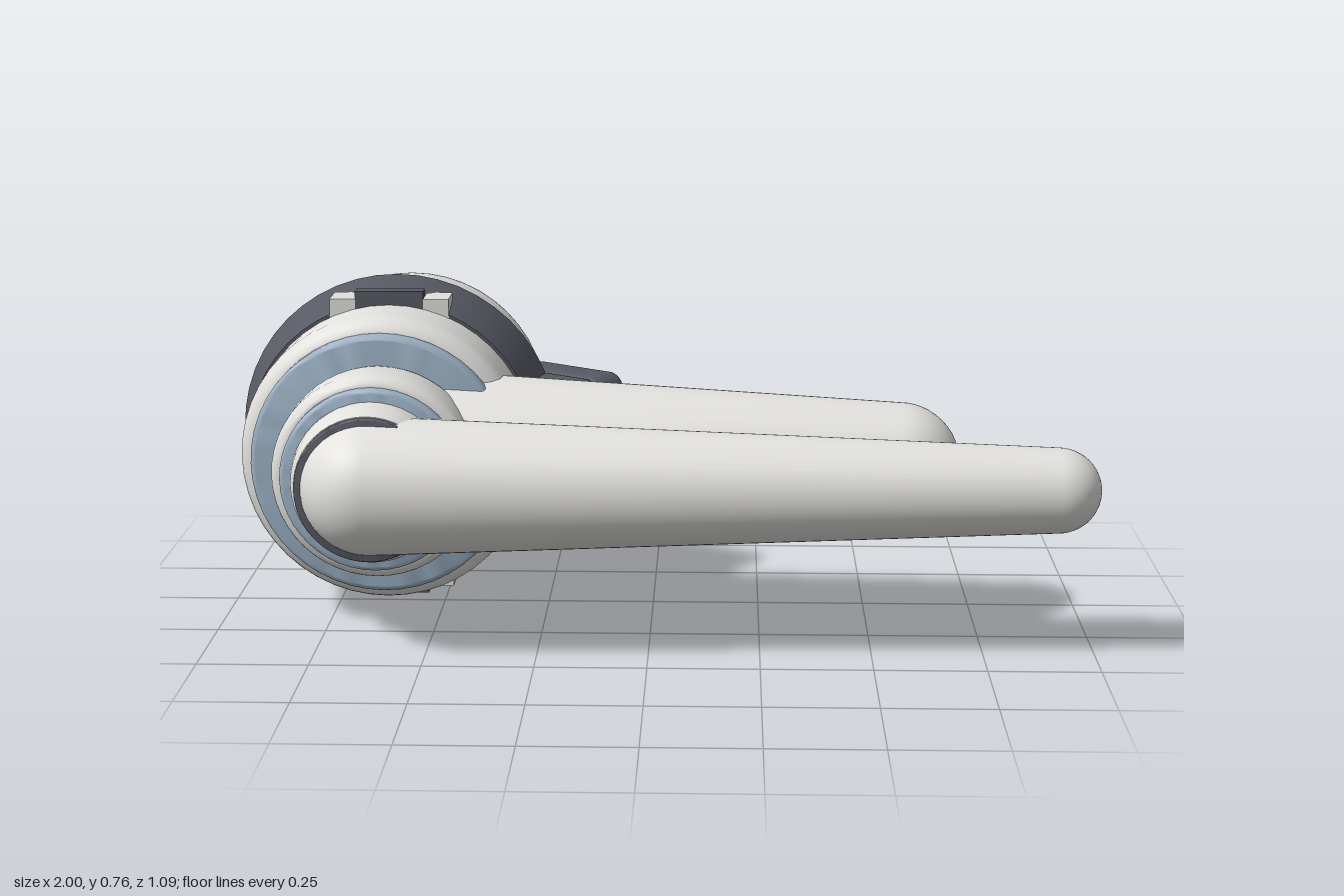
import * as THREE from 'three';
import { toCreasedNormals } from 'three/addons/utils/BufferGeometryUtils.js';

const AX = -0.62, AY = 0.385; // turning axis of the base, running along z

const material = (name, color) => {
  const m = new THREE.MeshStandardMaterial({ color });
  m.name = name;
  return m;
};

export function createModel() {
  const group = new THREE.Group();
  const white = material('shell white', 0xe2e1de);
  const blue = material('seal blue', 0x9db2c6);
  const dark = material('trim grey', 0x575a63);
  const black = material('screw black', 0x222327);

  const add = (name, geometry, mat, parent = group) => {
    const mesh = new THREE.Mesh(geometry, mat);
    mesh.name = name;
    parent.add(mesh);
    return mesh;
  };

  const lathe = (points, segments = 48) => toCreasedNormals(
    new THREE.LatheGeometry(points.map(([r, y]) => new THREE.Vector2(r, y)), segments), 0.6);

  // Turned part around the base axis, profile given as [radius, z] pairs
  const turned = (name, points, mat) => {
    const mesh = add(name, lathe(points).rotateX(Math.PI / 2), mat);
    mesh.position.set(AX, AY, 0);
  };

  // Drum with rounded rims
  const drum = (name, r, z0, z1, b, mat) => {
    const pts = [[0, z0]];
    for (let i = 0; i <= 6; i++) {
      const a = (i / 6) * Math.PI / 2;
      pts.push([r - b + b * Math.sin(a), z0 + b - b * Math.cos(a)]);
    }
    for (let i = 0; i <= 6; i++) {
      const a = (i / 6) * Math.PI / 2;
      pts.push([r - b + b * Math.cos(a), z1 - b + b * Math.sin(a)]);
    }
    pts.push([0, z1]);
    turned(name, pts, mat);
  };

  // Tapered arm with round ends between two centres
  const arm = (name, from, r0, to, r1) => {
    const a = new THREE.Vector3(...from), b = new THREE.Vector3(...to);
    const dir = b.clone().sub(a), len = dir.length();
    const pts = [];
    for (let i = 0; i <= 12; i++) {
      const t = (i / 12) * Math.PI / 2;
      pts.push([r0 * Math.sin(t), -r0 * Math.cos(t)]);
    }
    for (let i = 0; i <= 12; i++) {
      const t = (i / 12) * Math.PI / 2;
      pts.push([r1 * Math.cos(t), len + r1 * Math.sin(t)]);
    }
    const mesh = add(name, lathe(pts), white);
    mesh.position.copy(a);
    mesh.quaternion.setFromUnitVectors(new THREE.Vector3(0, 1, 0), dir.normalize());
  };

  // Stacked base drums and seals
  drum('rearCap', 0.302, -0.545, -0.5, 0.012, blue);
  drum('mainDrum', 0.335, -0.512, 0.162, 0.05, white);
  drum('frontSeal', 0.302, 0.15, 0.195, 0.012, blue);
  drum('middleDrum', 0.235, 0.18, 0.322, 0.03, white);
  drum('smallSeal', 0.21, 0.31, 0.345, 0.01, blue);
  turned('armSocket', [[0, 0.33], [0.182, 0.33], [0.182, 0.355], [0.177, 0.385], [0.165, 0.418], [0, 0.418]], white);
  drum('socketRing', 0.163, 0.415, 0.433, 0.003, dark);

  // Flared collar
  turned('collar', [[0.3, -0.175], [0.381, -0.175], [0.342, -0.015], [0.3, -0.015]], dark);

  // Latches above and below the collar
  for (const s of [1, -1]) {
    const latch = new THREE.Group();
    latch.name = s > 0 ? 'upperLatch' : 'lowerLatch';
    latch.position.set(AX, AY, 0);
    add('latchBar', new THREE.BoxGeometry(0.16, 0.05, 0.04), dark, latch).position.set(0, s * 0.342, -0.033);
    for (const side of [1, -1]) {
      add('latchTab', new THREE.BoxGeometry(0.06, 0.05, 0.09), white, latch)
        .position.set(side * 0.11, s * 0.324, -0.057);
    }
    group.add(latch);
  }

  // Arms
  arm('rearArm', [AX, AY, 0.107], 0.207, [0.57, AY, 0.134], 0.139);
  arm('frontArm', [AX, AY, 0.386], 0.155, [0.905, AY, 0.381], 0.095);

  // Side housing, turned to face back and outward
  const housing = new THREE.Group();
  housing.name = 'sideHousing';
  housing.position.set(-0.19, AY, -0.25);
  housing.rotation.y = Math.PI - 0.607;
  const slab = (name, size, radius, z0, z1, bevel) => {
    const h = size / 2 - bevel, r = radius - bevel;
    const shape = new THREE.Shape();
    shape.absarc(h - r, h - r, r, 0, Math.PI / 2);
    shape.absarc(r - h, h - r, r, Math.PI / 2, Math.PI);
    shape.absarc(r - h, r - h, r, Math.PI, Math.PI * 1.5);
    shape.absarc(h - r, r - h, r, Math.PI * 1.5, Math.PI * 2);
    const geo = new THREE.ExtrudeGeometry(shape, {
      depth: z1 - z0 - 2 * bevel, bevelSize: bevel, bevelThickness: bevel, bevelSegments: 3, curveSegments: 6,
    });
    add(name, toCreasedNormals(geo.translate(0, 0, z0 + bevel), 0.6), dark, housing);
  };
  slab('housingCover', 0.286, 0.042, -0.095, 0, 0.012);
  slab('housingBase', 0.28, 0.04, -0.165, -0.09, 0.012);
  for (const y of [0.07, -0.07]) {
    add('screw', new THREE.CylinderGeometry(0.009, 0.009, 0.004, 16).rotateX(Math.PI / 2), black, housing)
      .position.set(0, y, 0);
  }
  group.add(housing);

  return group;
}
